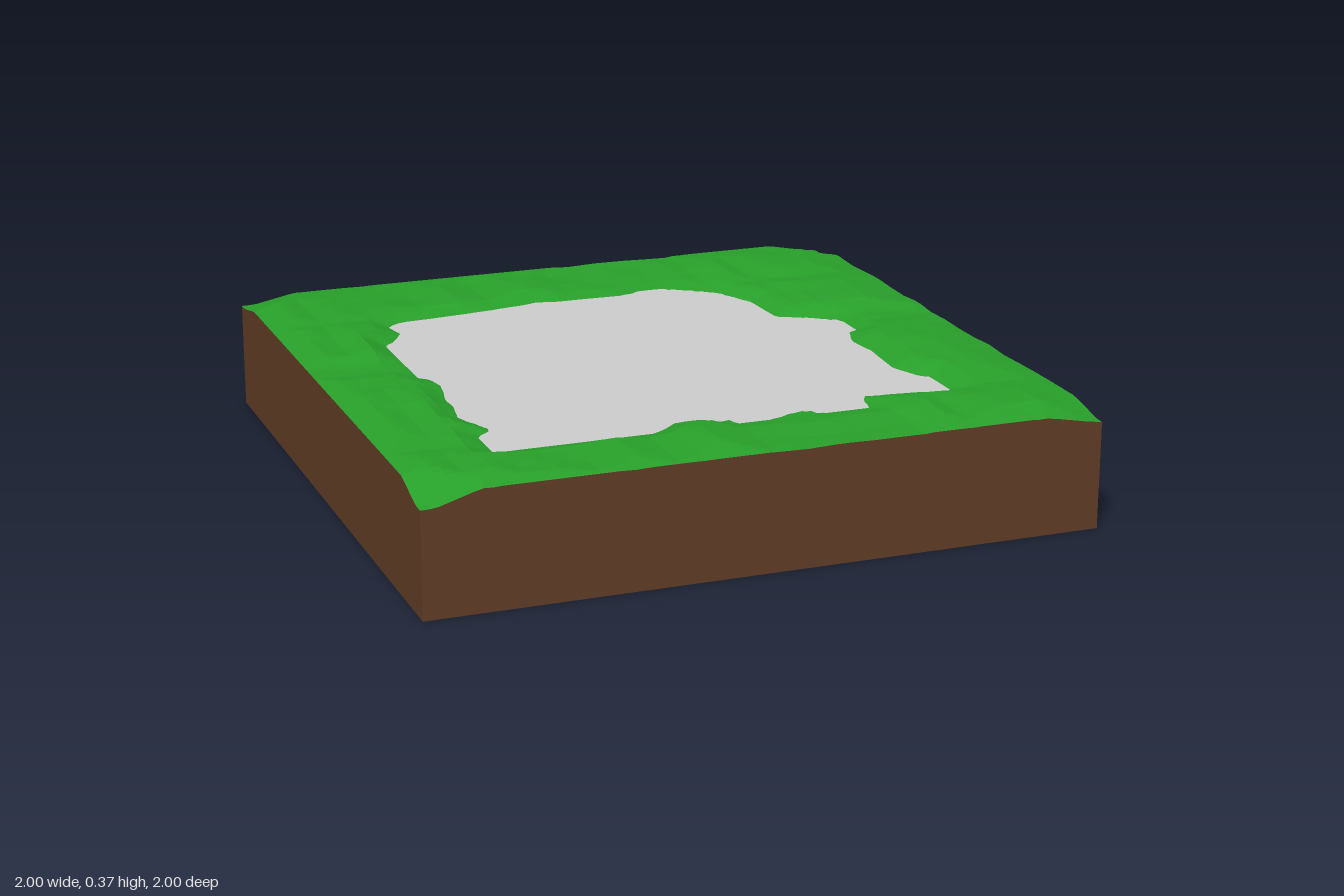
import * as THREE from 'three';

const SEG = 80;       // grid divisions per side
const WATER = 0.338;  // pond level

// Pond shoreline (x, z)
const SHORE = [
  [-.64, -.56], [-.59, -.59], [-.38, -.61], [-.18, -.64], [-.12, -.66], [-.06, -.64], [.15, -.63],
  [.23, -.66], [.31, -.66], [.4, -.6], [.46, -.55], [.52, -.42], [.53, -.24], [.62, -.19],
  [.705, -.12], [.705, -.02], [.67, 0], [.64, .09], [.655, .2], [.64, .38], [.68, .48], [.705, .5],
  [.705, .64], [.6, .62], [.45, .6], [.43, .62], [.415, .705], [.28, .705], [.23, .655], [.15, .685],
  [.11, .705], [.02, .705], [0, .655], [-.015, .68], [-.08, .635], [-.15, .635], [-.2, .68],
  [-.24, .705], [-.705, .705], [-.705, .56], [-.66, .53], [-.65, .51], [-.705, .38], [-.685, .27],
  [-.69, .22], [-.66, .07], [-.68, 0], [-.705, -.02], [-.705, -.37], [-.68, -.38], [-.625, -.47],
];

// Ridge heights of the bank along x and along z
const RIDGE_X = [[-1, .36], [-.93, .375], [-.85, .367], [-.78, .376], [-.68, .365], [-.5, .358], [-.38, .37],
  [-.28, .355], [-.12, .376], [0, .353], [.45, .353], [.55, .375], [.61, .365], [.68, .375], [.85, .375], [1, .352]];
const RIDGE_Z = [[-1, .357], [-.85, .371], [-.68, .376], [-.58, .365], [-.48, .375], [-.25, .375], [-.16, .352],
  [-.08, .352], [0, .365], [.1, .366], [.2, .374], [.5, .374], [.67, .362], [.78, .375], [.9, .375], [1, .357]];

function sample(table, t) {
  const i = Math.max(1, table.findIndex(p => p[0] >= t - 1e-6));
  const [a, b] = [table[i - 1], table[i]];
  return THREE.MathUtils.lerp(a[1], b[1], (t - a[0]) / (b[0] - a[0]));
}

// Signed distance to the shoreline, positive on land
function shoreDistance(x, z) {
  let best = Infinity, inside = false;
  SHORE.forEach(([ax, az], i) => {
    const [bx, bz] = SHORE[(i + 1) % SHORE.length];
    const dx = bx - ax, dz = bz - az;
    const t = THREE.MathUtils.clamp(((x - ax) * dx + (z - az) * dz) / (dx * dx + dz * dz), 0, 1);
    best = Math.min(best, Math.hypot(x - ax - t * dx, z - az - t * dz));
    if ((az > z) !== (bz > z) && x < ax + (z - az) / dz * dx) inside = !inside;
  });
  return inside ? -best : best;
}

// Seeded lattice noise, 0..1
function hash(i, j) {
  const s = Math.sin(i * 127.1 + j * 311.7) * 43758.5453;
  return s - Math.floor(s);
}
function noise(x, z) {
  const u = (x + 1) * 10, v = (z + 1) * 10, i = Math.floor(u), j = Math.floor(v);
  const { lerp } = THREE.MathUtils;
  return lerp(lerp(hash(i, j), hash(i + 1, j), u - i), lerp(hash(i, j + 1), hash(i + 1, j + 1), u - i), v - j);
}

// Ground height: sunken pond bed, rolling bank, rounded rim and corners
function groundHeight(x, z) {
  const d = shoreDistance(x, z);
  if (d < 0) return WATER + Math.max(-.06, d * .5);
  const ridge = Math.min(sample(RIDGE_X, x), sample(RIDGE_Z, z)) - noise(x, z) * .009;
  let h = WATER + (ridge - WATER) * Math.min(1, d / .07);
  const ex = 1 - Math.abs(x), ez = 1 - Math.abs(z);
  h = Math.min(h, .35 + .25 * Math.min(ex, ez));
  const corner = Math.max(0, 1 - Math.hypot(ex, ez) / .17);
  const low = x < 0 && z > 0 ? .04 : .026;
  return h - low * Math.min(1, corner * 1.3);
}

export function createModel() {
  const model = new THREE.Group();

  // Block whose top vertices follow the ground
  const block = new THREE.BoxGeometry(2, 1, 2, SEG, 1, SEG);
  const pos = block.attributes.position;
  for (let i = 0; i < pos.count; i++) {
    pos.setY(i, pos.getY(i) > 0 ? groundHeight(pos.getX(i), pos.getZ(i)) : 0);
  }

  // Takes some faces of the block (the top is side 2)
  function addPart(name, color, keep) {
    const geometry = block.clone();
    const index = Array.from(block.index.array);
    geometry.setIndex(block.groups.flatMap((g, side) => keep(side) ? index.slice(g.start, g.start + g.count) : []));
    geometry.clearGroups();
    const mesh = new THREE.Mesh(geometry, new THREE.MeshStandardMaterial({ color, flatShading: true }));
    mesh.name = name;
    model.add(mesh);
  }
  addPart('grass', 0x28a02a, side => side === 2);
  addPart('soil', 0x5f3c24, side => side !== 2);

  // Flat pond surface
  const water = new THREE.Mesh(
    new THREE.PlaneGeometry(1.41, 1.41).rotateX(-Math.PI / 2),
    new THREE.MeshStandardMaterial({ color: 0xcccccc, side: THREE.DoubleSide }),
  );
  water.position.y = WATER;
  water.name = 'pondSurface';
  model.add(water);

  return model;
}
